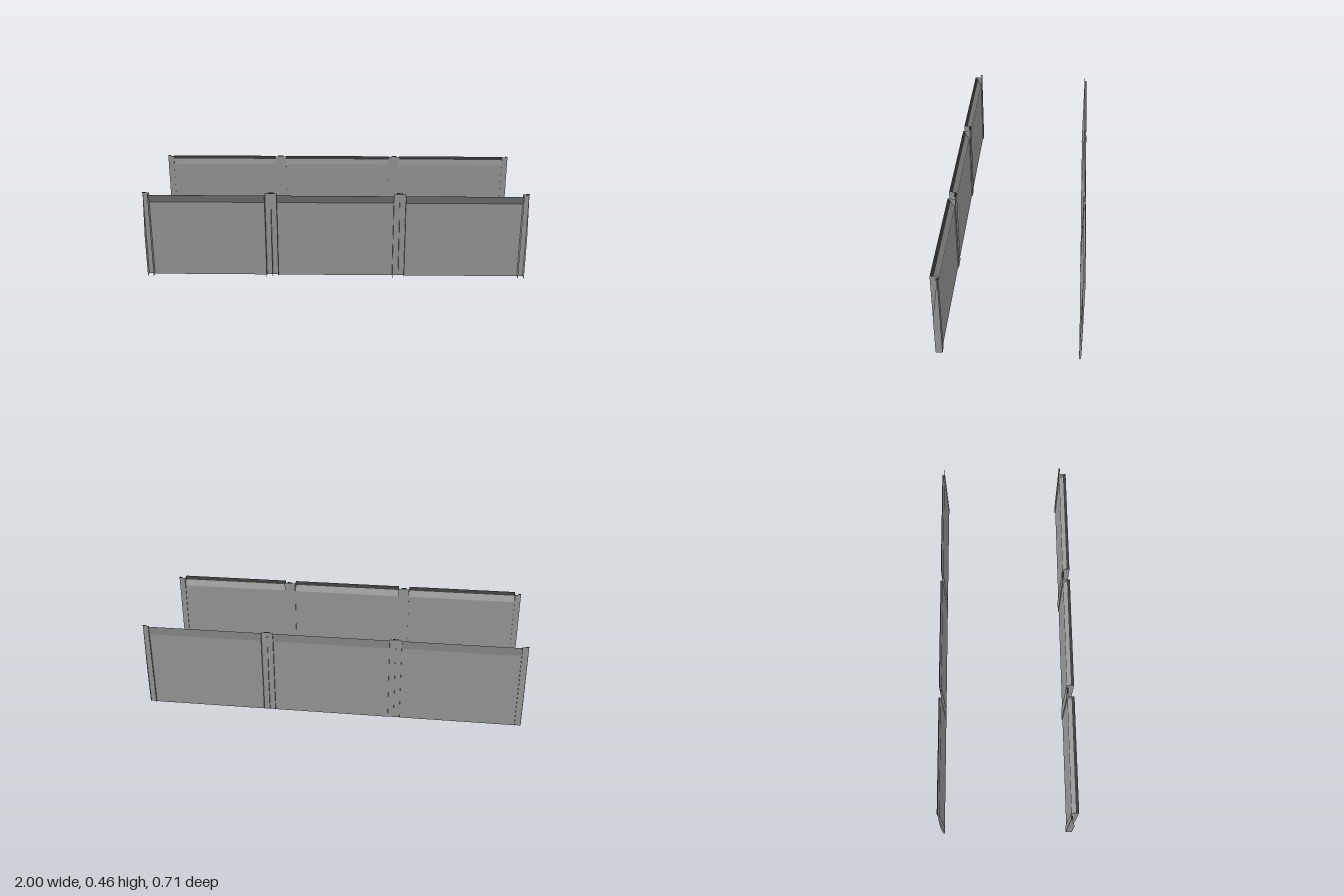
import * as THREE from 'three';

const makeMaterial = (color) => new THREE.MeshStandardMaterial({
  color, flatShading: true, side: THREE.DoubleSide,
});
const grey = makeMaterial(0x9b9b9b);
const dark = makeMaterial(0x3a3a3a);

// Profiles are [depth, y]; depth 0 is the inner face, 0.04 the outermost edge.
const PANEL = [[0.005, 0], [0.005, 0.41], [0.039, 0.459]];
const LIP_TRIM = [[0.025, 0.4415], [0.037, 0.459]];
const SQUARE_FIN = [[0, 0], [0.04, 0], [0.04, 0.459], [0, 0.459]];
const TAPERED_FIN = [[0, 0], [0.034, 0], [0.034, 0.22], [0.002, 0.459], [0, 0.459]];

function addMesh(parent, name, geometry, material = grey) {
  const mesh = new THREE.Mesh(geometry, material);
  mesh.name = name;
  parent.add(mesh);
  return mesh;
}

// Sheet that sweeps a depth/height profile along x
function sheet(profile, x0, x1) {
  const geometry = new THREE.PlaneGeometry(1, 1, 1, profile.length - 1);
  const pos = geometry.attributes.position;
  profile.forEach(([z, y], i) => {
    pos.setXYZ(i * 2, x0, y, z);
    pos.setXYZ(i * 2 + 1, x1, y, z);
  });
  geometry.computeVertexNormals();
  return geometry;
}

// Thin upright fin lying in the depth/height plane at a given x
function fin(profile, x) {
  const shape = new THREE.Shape(profile.map(([z, y]) => new THREE.Vector2(z, y)));
  return new THREE.ShapeGeometry(shape).rotateY(-Math.PI / 2).translate(x, 0, 0);
}

function buildWall(name) {
  const wall = new THREE.Group();
  wall.name = name;

  // Three panels, each with an outward-flared top lip, dark inner trim and closing fins
  const panels = [[-0.968, -0.365], [-0.303, 0.303], [0.365, 0.968]];
  for (const [x0, x1] of panels) {
    addMesh(wall, 'panel', sheet(PANEL, x0, x1));
    addMesh(wall, 'lipTrim', sheet(LIP_TRIM, x0, x1), dark);
    for (const x of [x0, x1]) addMesh(wall, 'panelEdgeFin', fin(SQUARE_FIN, x));
  }

  // Posts: flat inner plate, tapered rib and a small dark cap
  const posts = [
    [-1, -0.968, -1], [-0.365, -0.303, -0.334],
    [0.303, 0.365, 0.334], [0.968, 1, 1],
  ];
  for (const [x0, x1, ribX] of posts) {
    addMesh(wall, 'postPlate', sheet([[0, 0], [0, 0.459]], x0, x1));
    addMesh(wall, 'postRib', fin(TAPERED_FIN, ribX));
    const c0 = Math.max(x0, ribX - 0.015);
    const c1 = Math.min(x1, ribX + 0.015);
    const cap = new THREE.BoxGeometry(c1 - c0, 0.005, 0.008);
    addMesh(wall, 'postCap', cap, dark).position.set((c0 + c1) / 2, 0.4605, 0.004);
  }
  return wall;
}

export function createModel() {
  const model = new THREE.Group();
  model.name = 'pairOfBarrierWalls';

  const front = buildWall('frontWall');
  front.position.z = 0.315;

  // The back wall is the same design turned around and much shallower
  const back = buildWall('backWall');
  back.rotation.y = Math.PI;
  back.scale.z = 0.29;
  back.position.z = -0.343;

  model.add(front, back);
  return model;
}
